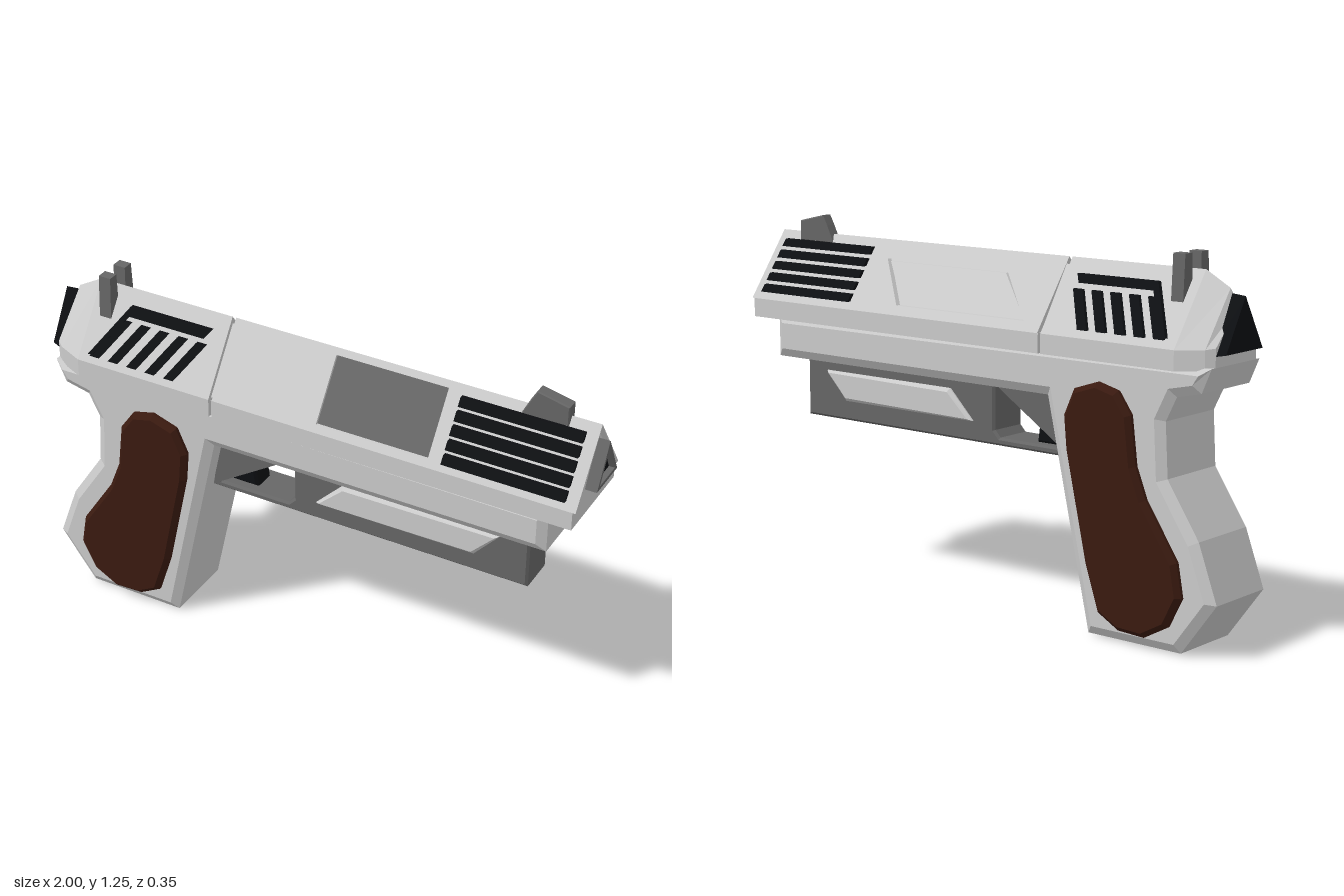
import * as THREE from 'three';

const mat = (color) => new THREE.MeshStandardMaterial({ color, flatShading: true });
const LIGHT = mat(0xcccccc), GREY = mat(0x666666), BLACK = mat(0x0d0f12), BROWN = mat(0x3a1a10);

// Half width of the wedge-shaped slide at height y
const APEX = 1.19, BASE = 0.96, HALF = 0.165;
const slopeZ = (y) => HALF * (APEX - y) / (APEX - BASE);

const shapeOf = (pts, holes = []) => {
  const s = new THREE.Shape(pts.map(([x, y]) => new THREE.Vector2(x, y)));
  for (const h of holes) s.holes.push(new THREE.Path(h.map(([x, y]) => new THREE.Vector2(x, y))));
  return s;
};
const rect = (x0, x1, y0, y1) => [[x0, y0], [x1, y0], [x1, y1], [x0, y1]];

// Side profile extruded between z0 and z1, with an optional bevel kept inside the outline
function slab(pts, z0, z1, bevel = 0, holes = [], bevelDepth = bevel) {
  const g = new THREE.ExtrudeGeometry(shapeOf(pts, holes), {
    depth: z1 - z0 - 2 * bevelDepth, bevelEnabled: bevel > 0, bevelSize: bevel,
    bevelThickness: bevelDepth, bevelOffset: -bevel, bevelSegments: 1, curveSegments: 4,
  });
  return g.translate(0, 0, z0 + bevelDepth);
}

// Plate lying on the sloped face of the slide, from inner to outer offset
function slopePlate(pts, inner, outer, holes = []) {
  const g = slab(pts, inner, outer, 0, holes);
  const p = g.attributes.position;
  for (let i = 0; i < p.count; i++) p.setZ(i, Math.max(0, p.getZ(i) + slopeZ(p.getY(i))));
  g.computeVertexNormals();
  return g;
}

// Copy of a non-indexed geometry reflected to the other side
function mirrorZ(geo) {
  const g = geo.clone(), p = g.attributes.position, a = new THREE.Vector3(), b = new THREE.Vector3();
  g.scale(1, 1, -1);
  for (let i = 0; i < p.count; i += 3) {
    a.fromBufferAttribute(p, i + 1);
    b.fromBufferAttribute(p, i + 2);
    p.setXYZ(i + 1, b.x, b.y, b.z);
    p.setXYZ(i + 2, a.x, a.y, a.z);
  }
  g.computeVertexNormals();
  return g;
}

// Solid through cross-sections { x, pts: [[z, y], ...] } along x
function loft(sections) {
  const v = [];
  const put = (s, i) => v.push(s.x, s.pts[i][1], s.pts[i][0]);
  const n = sections[0].pts.length, last = sections[sections.length - 1];
  for (let k = 0; k + 1 < sections.length; k++) {
    const a = sections[k], b = sections[k + 1];
    for (let i = 0; i < n; i++) {
      const j = (i + 1) % n;
      put(a, i); put(a, j); put(b, i);
      put(a, j); put(b, j); put(b, i);
    }
  }
  for (let i = 1; i + 1 < n; i++) {
    put(last, 0); put(last, i); put(last, i + 1);
    put(sections[0], 0); put(sections[0], i + 1); put(sections[0], i);
  }
  const g = new THREE.BufferGeometry();
  g.setAttribute('position', new THREE.Float32BufferAttribute(v, 3));
  g.computeVertexNormals();
  return g;
}
const tri = (x, half, base, top) => ({ x, pts: [[0, top], [half, base], [-half, base]] });
const house = (x, half, bottom, base, top) =>
  ({ x, pts: [[0, top], [half, base], [half, bottom], [-half, bottom], [-half, base]] });

export function createModel() {
  const root = new THREE.Group();
  const add = (name, geo, material, parent = root) => {
    const m = new THREE.Mesh(geo, material);
    m.name = name;
    parent.add(m);
    return m;
  };
  const addPair = (name, geo, material, parent = root) => {
    add(name + 'Left', geo, material, parent);
    add(name + 'Right', mirrorZ(geo), material, parent);
  };

  // Frame and grip in one profile
  add('frame', slab([
    [0.87, 0.91], [-0.965, 0.91], [-0.93, 0.83], [-0.84, 0.81], [-0.8, 0.73], [-0.81, 0.55],
    [-0.93, 0.37], [-1, 0.18], [-0.87, 0.005], [-0.51, 0.005], [-0.34, 0.76], [0.87, 0.76],
  ], -0.15, 0.15, 0.03, [], 0.02), LIGHT);
  add('gripBase', new THREE.BoxGeometry(0.31, 0.02, 0.23).translate(-0.69, 0.01, 0), BLACK);
  addPair('gripPanel', slab([
    [-0.56, 0.83], [-0.47, 0.8], [-0.43, 0.71], [-0.44, 0.6], [-0.52, 0.24], [-0.57, 0.09], [-0.65, 0.045],
    [-0.75, 0.04], [-0.84, 0.09], [-0.89, 0.19], [-0.87, 0.3], [-0.75, 0.48], [-0.71, 0.58], [-0.69, 0.74], [-0.64, 0.81],
  ], 0.13, 0.177, 0.016), BROWN);

  // Slide: core, recessed side skins, solid rear block and tapered tail
  const slide = new THREE.Group();
  slide.name = 'slide';
  root.add(slide);
  add('slideCore', loft([tri(-0.345, HALF - 0.018, BASE, 1.165), tri(0.96, HALF - 0.018, BASE, 1.165)]), LIGHT, slide);
  add('slideBase', new THREE.BoxGeometry(1.285, 0.065, 2 * HALF).translate(0.3175, 0.9275, 0), LIGHT, slide);
  const side = rect(-0.322, 0.97, BASE, APEX);
  const port = rect(0.06, 0.46, 0.98, 1.17);
  const panel = [[-0.25, 0.99], [0.3, 0.99], [0.43, 1.13], [-0.1, 1.13]];
  add('sideSkinLeft', slopePlate(side, -0.02, 0, [port]), LIGHT, slide);
  add('sideSkinRight', mirrorZ(slopePlate(side, -0.02, 0, [panel])), LIGHT, slide);
  add('ejectionPort', slopePlate(port, -0.03, -0.012), GREY, slide);
  const inset = panel.map(([x, y]) => [0.09 + (x - 0.09) * 0.96, 1.06 + (y - 1.06) * 0.88]);
  add('insetPanel', mirrorZ(slopePlate(inset, -0.03, -0.008)), LIGHT, slide);
  add('rearBlock', loft([
    house(-0.965, 0.11, 0.91, 0.97, 1.08), house(-0.94, 0.13, 0.9, 0.965, 1.14),
    house(-0.85, HALF, 0.895, BASE, APEX), house(-0.335, HALF, 0.895, BASE, APEX),
  ]), LIGHT, slide);
  add('rearCap', loft([tri(-0.995, 0.1, 0.95, 1.12), tri(-0.94, 0.115, 0.94, 1.125)]), BLACK, slide);

  // Front cooling bars
  for (let i = 0; i < 5; i++) {
    const y = 0.985 + i * 0.038;
    addPair('frontBar' + i, slopePlate(rect(0.51, 0.93, y, y + 0.025), -0.01, 0.014), BLACK, slide);
  }

  // Slanted rear slots under an angled bracket
  for (let i = 0; i < 5; i++) {
    const x = -0.805 + i * 0.073;
    addPair('rearSlot' + i, slopePlate([[x, 0.985], [x + 0.037, 0.985], [x + 0.117, 1.1], [x + 0.08, 1.1]],
      -0.01, 0.012), BLACK, slide);
  }
  addPair('rearBracket', slopePlate([
    [-0.812, 0.99], [-0.795, 0.99], [-0.7, 1.118], [-0.41, 1.118], [-0.39, 1.145], [-0.705, 1.145],
  ], -0.01, 0.014), BLACK, slide);

  // Triangular muzzle ring with a dark bore
  const ring = slab([[-0.078, 0.995], [0.078, 0.995], [0, 1.14]], 0.95, 1, 0,
    [[[-0.058, 1.007], [0, 1.116], [0.058, 1.007]]]);
  add('muzzleRing', ring.rotateY(Math.PI / 2), GREY);
  add('muzzleBore', loft([tri(0.95, 0.06, 1.005, 1.118), tri(0.98, 0.06, 1.005, 1.118)]), BLACK);

  // Sights
  add('frontSight', slab([[0.71, 1.16], [0.87, 1.16], [0.87, 1.23], [0.76, 1.255], [0.74, 1.22]], -0.022, 0.022, 0.004), GREY);
  addPair('rearSight', loft([-0.815, -0.77].map((x) => (
    { x, pts: [[0.025, 1.24], [0.062, 1.24], [0.072, 1.06], [0.02, 1.06]] }))), GREY);

  // Under-barrel housing with the trigger opening
  add('underBarrel', slab(
    [[-0.39, 0.55], [0.79, 0.55], [0.79, 0.775], [-0.36, 0.775]], -0.073, 0.073, 0.008,
    [[[-0.35, 0.577], [-0.35, 0.755], [-0.068, 0.755], [-0.068, 0.6], [-0.09, 0.577]]]), GREY);
  addPair('barrelPanel', slab([[0.02, 0.62], [0.6, 0.62], [0.69, 0.72], [0.12, 0.72]], 0.06, 0.09, 0.012), LIGHT);
  add('trigger', slab([[-0.38, 0.575], [-0.225, 0.575], [-0.235, 0.65], [-0.225, 0.77], [-0.36, 0.77]], -0.045, 0.045, 0.01), BLACK);

  return root;
}
